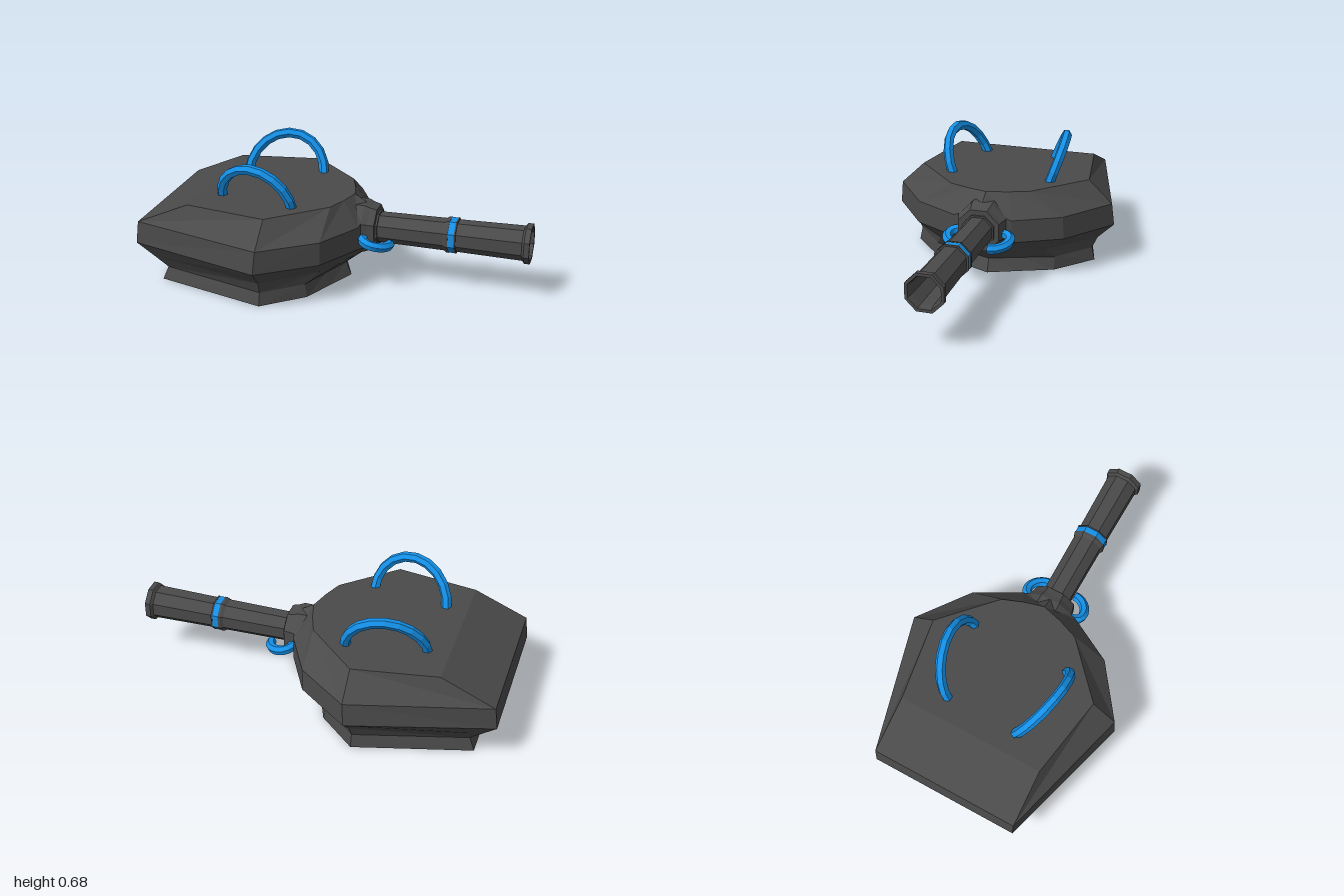
import * as THREE from 'three';

const dark = new THREE.MeshStandardMaterial({ color: 0x4a4a4a, flatShading: true });
const blue = new THREE.MeshStandardMaterial({ color: 0x1490e8, flatShading: true });
const AXIS_Y = 0.295; // height of the barrel axis

// Symmetric ring: [x, z, own y] for back, widest, cheek, nose side, nose tip
function ring(y, half, scale = 1) {
  const right = half.slice(0, 4).reverse().map(([x, z, own]) => [x, -z, own]);
  return [...half, ...right].map(([x, z, own = y]) => [-0.4 + (x + 0.4) * scale, own, z * scale]);
}

// Skin a stack of rings and close both ends; diagonals mirror left to right
function loft(rings) {
  const n = rings[0].length, last = (rings.length - 1) * n, index = [];
  for (let r = 0; r < rings.length - 1; r++) {
    for (let i = 0; i < n; i++) {
      const a = r * n + i, b = r * n + (i + 1) % n;
      if (i < n / 2 - 1) index.push(a, b, b + n, a, b + n, a + n);
      else index.push(a, b, a + n, b, b + n, a + n);
    }
  }
  for (let i = 1; i < n - 1; i++) {
    index.push(0, i + 1, i, last, last + i, last + i + 1);
  }
  const g = new THREE.BufferGeometry();
  g.setAttribute('position', new THREE.Float32BufferAttribute(rings.flat(2), 3));
  g.setIndex(index);
  const flat = g.toNonIndexed();
  flat.computeVertexNormals();
  return flat;
}

// Octagonal turned part along +x from [x, radius] points, flat side up
function turned(name, profile, material) {
  const pts = profile.map(([x, r]) => new THREE.Vector2(r, x));
  const mesh = new THREE.Mesh(new THREE.LatheGeometry(pts, 8, Math.PI / 8), material);
  mesh.name = name;
  mesh.rotation.z = -Math.PI / 2;
  mesh.position.y = AXIS_Y;
  return mesh;
}

// Half hoop between two feet, bulging by the given vector
function hoop(name, a, b, bulge, radius, side) {
  const A = new THREE.Vector3(...a), B = new THREE.Vector3(...b), U = new THREE.Vector3(...bulge);
  const mid = A.clone().add(B).multiplyScalar(0.5), half = B.clone().sub(A).multiplyScalar(0.5);
  const pts = [];
  for (let i = 0; i <= 10; i++) {
    const t = Math.PI * i / 10;
    const p = mid.clone().addScaledVector(half, -Math.cos(t)).addScaledVector(U, Math.sin(t));
    p.z *= side;
    pts.push(p);
  }
  const mesh = new THREE.Mesh(new THREE.TubeGeometry(new THREE.CatmullRomCurve3(pts), 10, radius, 6), blue);
  mesh.name = name;
  return mesh;
}

export function createModel() {
  const model = new THREE.Group();
  model.name = 'turret';

  // Faceted hollow shell, open at the bottom; the nose tips meet the collar
  const levels = [
    [0, [[-0.888, 0.34], [-0.29, 0.505], [-0.09, 0.33], [-0.02, 0.165], [0.052, 0]]],
    [0.07, [[-0.86, 0.33], [-0.29, 0.49], [-0.1, 0.33], [-0.04, 0.165], [0.023, 0]]],
    [0.135, [[-0.92, 0.36], [-0.285, 0.52], [-0.03, 0.29], [0.04, 0.15], [0.105, 0]]],
    [0.22, [[-1, 0.4], [-0.28, 0.608], [0, 0.4], [0.13, 0.16], [0.165, 0, 0.18]]],
    [0.34, [[-0.985, 0.4], [-0.27, 0.595], [0, 0.395], [0.13, 0.155], [0.16, 0, 0.41]]],
    [0.463, [[-0.705, 0.395], [-0.27, 0.467], [0, 0.215], [0.04, 0.11], [0.07, 0]]],
  ];
  const outer = levels.map(([y, half]) => ring(y, half));
  const inner = levels.map(([y, half], i) => ring(i === 5 ? 0.43 : y, half, 0.93)).reverse();
  const shell = new THREE.Mesh(loft([...inner, ...outer]), dark);
  shell.name = 'shell';
  model.add(shell);

  // Collar at the nose
  model.add(turned('barrelCollar',
    [[0.09, 0.14], [0.135, 0.14], [0.165, 0.127], [0.2, 0.118], [0.2, 0.06]], dark));

  // Hollow barrel with root flange, band lips and muzzle flare
  model.add(turned('barrel', [
    [0.19, 0.09], [0.21, 0.09], [0.21, 0.08], [0.555, 0.084], [0.57, 0.094], [0.582, 0.094],
    [0.582, 0.08], [0.614, 0.08], [0.614, 0.094], [0.622, 0.094], [0.622, 0.084], [0.96, 0.09],
    [0.972, 0.104], [1, 0.104], [1, 0.088], [0.96, 0.08], [0.21, 0.072], [0.21, 0],
  ], dark));

  // Coloured band round the barrel
  model.add(turned('barrelBand',
    [[0.582, 0.07], [0.582, 0.092], [0.614, 0.092], [0.614, 0.07]], blue));

  // Roof handles and small barrel loops, mirrored
  for (const side of [1, -1]) {
    const label = side > 0 ? 'Front' : 'Back';
    model.add(hoop('roofHandle' + label, [-0.592, 0.445, 0.193], [-0.185, 0.445, 0.267], [0, 0.21, 0.08], 0.027, side));
    model.add(hoop('barrelLoop' + label, [0.145, 0.27, 0.12], [0.28, 0.235, 0.075], [0.005, -0.003, 0.066], 0.026, side));
  }
  return model;
}
